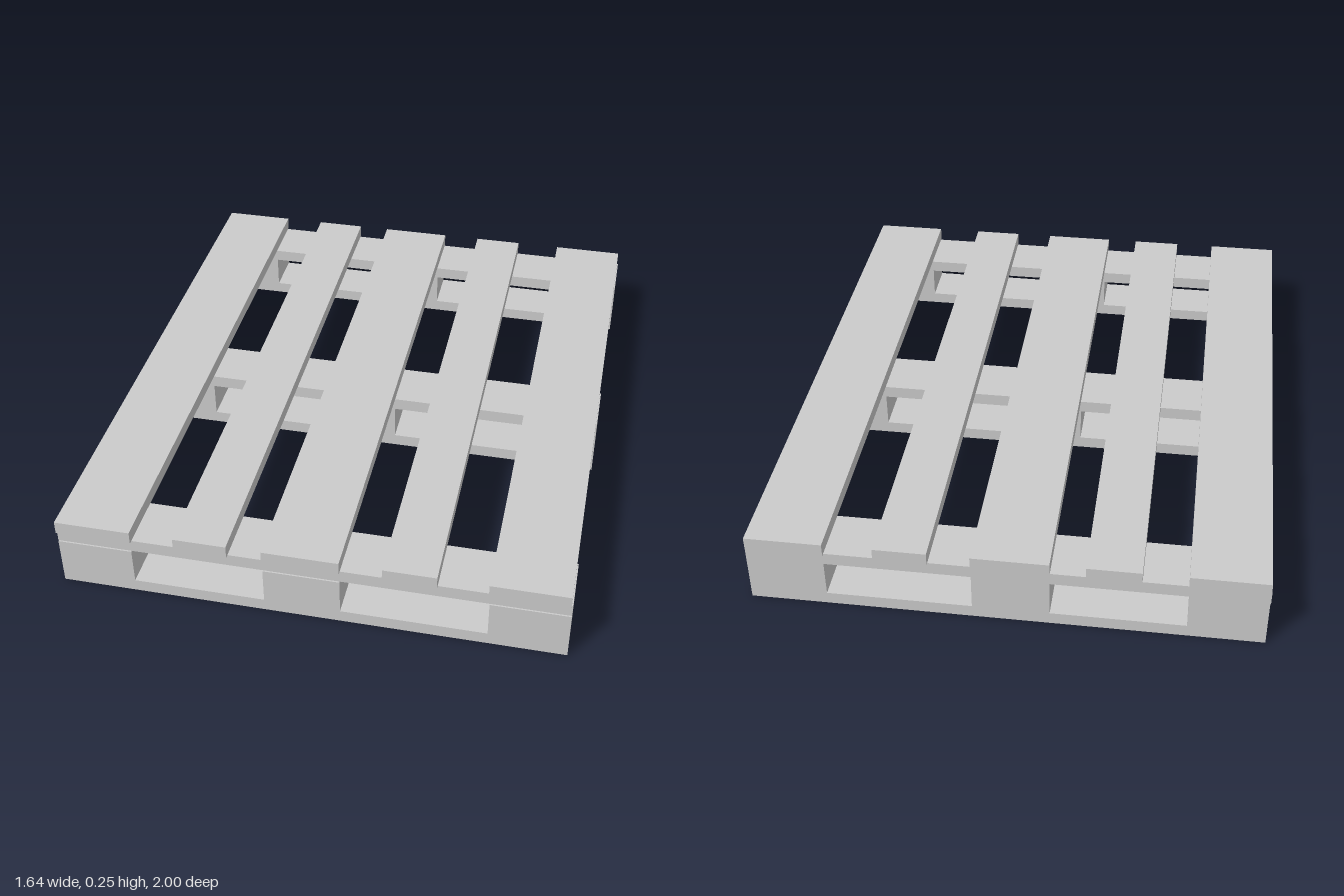
import * as THREE from 'three';

const material = new THREE.MeshStandardMaterial({ color: 0xcccccc, flatShading: true });

// Box given by its extents on each axis
function board(name, [x0, x1], [y0, y1], [z0, z1]) {
  const mesh = new THREE.Mesh(new THREE.BoxGeometry(x1 - x0, y1 - y0, z1 - z0), material);
  mesh.position.set((x0 + x1) / 2, (y0 + y1) / 2, (z0 + z1) / 2);
  mesh.name = name;
  return mesh;
}

// Skid: bottom board and three blocks in one profile, with two fork openings
function skid(name, [z0, z1]) {
  const low = 0.042, high = 0.167;
  const profile = [
    [-0.82, 0], [0.82, 0], [0.82, high], [0.57, high], [0.57, low], [0.102, low],
    [0.102, high], [-0.145, high], [-0.145, low], [-0.575, low], [-0.575, high], [-0.82, high],
  ];
  const shape = new THREE.Shape(profile.map(([x, y]) => new THREE.Vector2(x, y)));
  const geometry = new THREE.ExtrudeGeometry(shape, { depth: z1 - z0, bevelEnabled: false });
  const mesh = new THREE.Mesh(geometry, material);
  mesh.position.z = z0;
  mesh.name = name;
  return mesh;
}

export function createModel() {
  const pallet = new THREE.Group();
  pallet.name = 'pallet';

  // Deck boards, wide and narrow in turn
  const deck = [[-0.82, -0.572], [-0.43, -0.257], [-0.145, 0.102], [0.237, 0.408], [0.567, 0.816]];
  deck.forEach((x, i) => pallet.add(board(`deckBoard${i + 1}`, x, [0.21, 0.254], [-1, 1])));

  // Cross boards, each on a skid
  const rows = [
    { name: 'Back', cross: [-0.99, -0.808], skid: [-0.99, -0.823] },
    { name: 'Middle', cross: [-0.092, 0.092], skid: [-0.083, 0.087] },
    { name: 'Front', cross: [0.803, 0.987], skid: [0.825, 0.992] },
  ];
  for (const row of rows) {
    pallet.add(board(`crossBoard${row.name}`, [-0.822, 0.82], [0.167, 0.21], row.cross));
    pallet.add(skid(`skid${row.name}`, row.skid));
  }
  return pallet;
}
